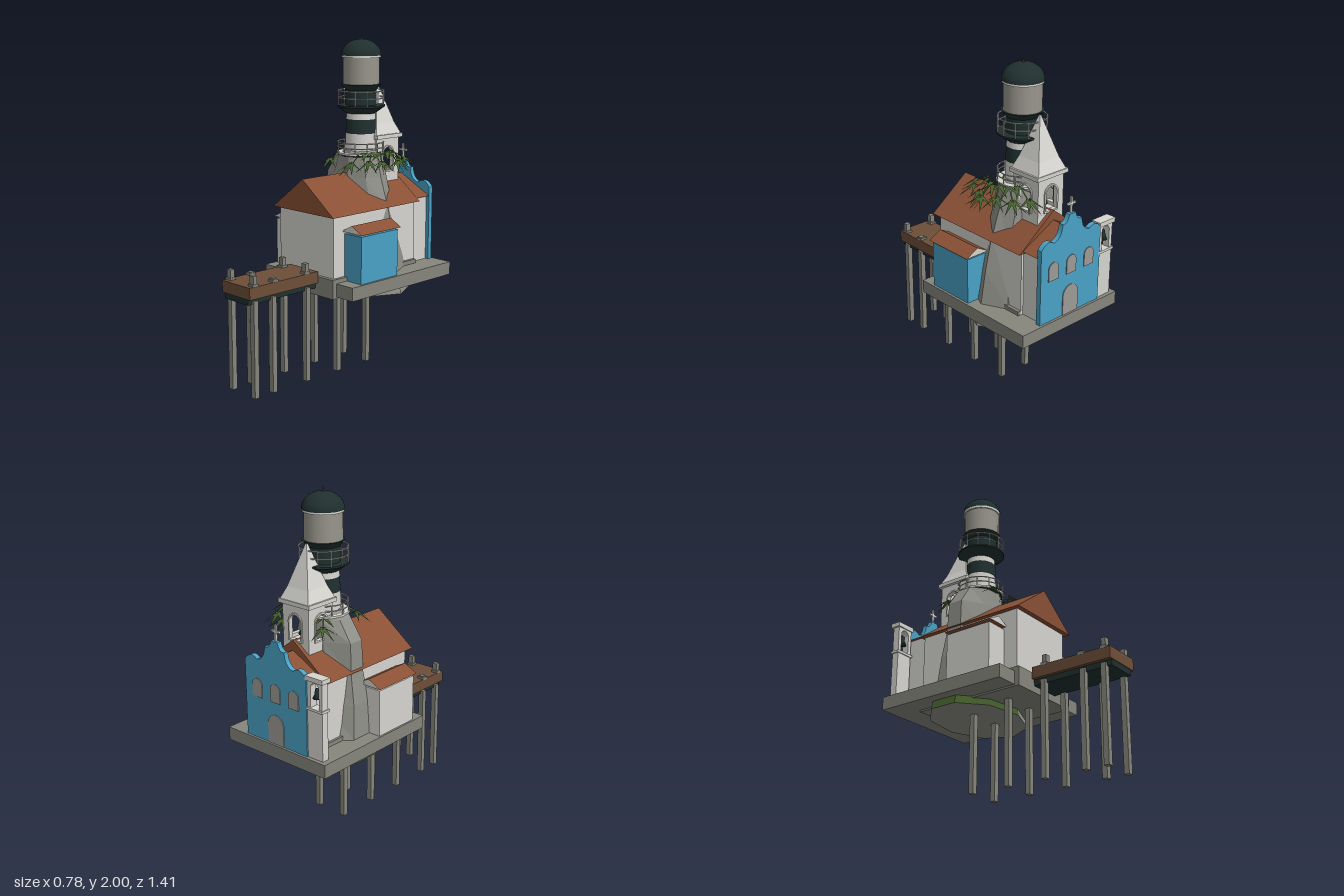
import * as THREE from 'three';

const mat = (name, color, extra = {}) => {
  const m = new THREE.MeshStandardMaterial({ color, ...extra });
  m.name = name;
  return m;
};

export function createModel() {
  const root = new THREE.Group();
  root.name = 'pierLighthouse';
  const white = mat('white plaster', 0xd6d5d0), tile = mat('roof tile', 0x8a5035);
  const blue = mat('blue paint', 0x4aa2c6), grey = mat('grey stone', 0x86867d);
  const rockMat = mat('rock', 0x8f8f89, { flatShading: true });
  const dark = mat('dark green iron', 0x20302f), wood = mat('dock wood', 0x6d4e38);
  const glass = mat('lantern glass', 0x98968c), leaf = mat('leaf green', 0x435e2c, { side: THREE.DoubleSide });
  const opening = mat('window grey', 0x9d9b96);
  const CX = -0.022, CZ = -0.287;

  const add = (name, geo, m, x = 0, y = 0, z = 0, parent = root) => {
    const mesh = new THREE.Mesh(geo, m);
    mesh.name = name;
    mesh.position.set(x, y, z);
    parent.add(mesh);
    return mesh;
  };
  // Box given by its limits on each axis
  const box = (name, m, x0, x1, y0, y1, z0, z1, parent = root) =>
    add(name, new THREE.BoxGeometry(x1 - x0, y1 - y0, z1 - z0), m,
      (x0 + x1) / 2, (y0 + y1) / 2, (z0 + z1) / 2, parent);
  const extrude = (shape, depth) =>
    new THREE.ExtrudeGeometry(shape, { depth, bevelEnabled: false, curveSegments: 10 });
  // Gable roof with its ridge along z
  const gable = (name, ends, x0, x1, y0, y1, z0, z1) => {
    const s = new THREE.Shape([[x0, y0], [x1, y0], [(x0 + x1) / 2, y1]].map(p => new THREE.Vector2(...p)));
    add(name, extrude(s, z1 - z0), [ends, tile], 0, 0, z0);
  };
  // Round-headed outline centred on x
  const arch = (x, y0, y1, w, Type = THREE.Shape) => {
    const p = new Type(), r = w / 2;
    p.moveTo(x - r, y0);
    p.lineTo(x + r, y0);
    p.lineTo(x + r, y1 - r);
    p.absarc(x, y1 - r, r, 0, Math.PI, false);
    p.lineTo(x - r, y0);
    return p;
  };
  const archedWall = (x0, x1, y0, y1, ax, a0, a1, aw) => {
    const s = new THREE.Shape([[x0, y0], [x1, y0], [x1, y1], [x0, y1]].map(p => new THREE.Vector2(...p)));
    s.holes.push(arch(ax, a0, a1, aw, THREE.Path));
    return s;
  };
  const lathe = (name, m, pts, x, y, z, seg = 20) =>
    add(name, new THREE.LatheGeometry(pts.map(p => new THREE.Vector2(...p)), seg), m, x, y, z);

  // Platform
  box('platformSlab', grey, -0.4, 0.355, 0.52, 0.6, -0.705, 0.16);
  box('buildingPlinth', grey, -0.265, 0.225, 0.51, 0.625, -0.53, 0.19);

  // Rock: stacked eight-sided rings, mossy on the front left faces near the base
  const rings = [ // y, radius x, radius z, extra reach on the -x side
    [0.47, 0.345, 0.255, 0], [0.6, 0.31, 0.235, 0], [0.8, 0.275, 0.18, 0.02], [0.97, 0.235, 0.15, 0.03],
    [1.16, 0.17, 0.14, 0.09], [1.28, 0.14, 0.13, 0.03], [1.32, 0.09, 0.09, 0]];
  const N = 9, pos = [], moss = [];
  const pt = (i, k) => {
    const [y, rx, rz, reach] = rings[i], a = (k % N) / N * Math.PI * 2;
    const x = Math.cos(a) * rx - Math.max(0, -Math.cos(a)) ** 2 * reach;
    return [CX + x, y, CZ + Math.sin(a) * rz];
  };
  for (let i = 0; i < rings.length - 1; i++) {
    for (let k = 0; k < N; k++) {
      const a = pt(i, k), b = pt(i, k + 1), c = pt(i + 1, k + 1), d = pt(i + 1, k);
      (i === 0 && k >= 2 && k <= 4 ? moss : pos).push(...a, ...c, ...b, ...a, ...d, ...c);
    }
  }
  for (let k = 0; k < N; k++) pos.push(CX, 0.47, CZ, ...pt(0, k), ...pt(0, k + 1));
  const soup = (arr) => {
    const g = new THREE.BufferGeometry();
    g.setAttribute('position', new THREE.Float32BufferAttribute(arr, 3));
    g.computeVertexNormals();
    return g;
  };
  add('rock', soup(pos), rockMat);
  add('mossyRockBase', soup(moss), leaf);

  // Main hall and lower rear hall
  box('hallWalls', white, -0.25, 0.205, 0.6, 1.0, -0.53, 0.167);
  gable('hallRoof', tile, -0.28, 0.236, 0.99, 1.185, -0.545, 0.197);
  box('rearHallWalls', white, -0.235, 0.19, 0.6, 1.01, -0.662, -0.53);
  gable('rearHallRoof', tile, -0.257, 0.212, 1.005, 1.125, -0.665, -0.54);

  // Side annexes
  [['left', blue, 0.2, 0.34, 0.19, 0.356], ['right', white, -0.388, -0.24, -0.4, -0.23]].forEach(
    ([side, m, x0, x1, r0, r1]) => {
      box(side + 'Annex', m, x0, x1, 0.6, 0.88, -0.232, 0.075);
      box(side + 'AnnexCornice', white, x0 + 0.02, x1 - 0.02, 0.88, 0.9, -0.22, 0.06);
      gable(side + 'AnnexRoof', white, r0, r1, 0.893, 0.937, -0.243, 0.087);
    });

  // Scalloped facade on the back, built around x = 0
  const facade = new THREE.Group();
  facade.name = 'facade';
  facade.position.set(CX, 0, -0.69);
  root.add(facade);
  const f = new THREE.Shape();
  f.moveTo(-0.235, 0.6);
  f.lineTo(0.235, 0.6);
  f.lineTo(0.235, 1.06);
  f.quadraticCurveTo(0.19, 1.12, 0.14, 1.08);
  f.quadraticCurveTo(0.08, 1.09, 0.075, 1.17);
  f.quadraticCurveTo(0.04, 1.16, 0.025, 1.215);
  f.lineTo(-0.025, 1.215);
  f.quadraticCurveTo(-0.04, 1.16, -0.075, 1.17);
  f.quadraticCurveTo(-0.08, 1.09, -0.14, 1.08);
  f.quadraticCurveTo(-0.19, 1.12, -0.235, 1.06);
  add('facadeWall', extrude(f, 0.03), blue, 0, 0, 0, facade);
  for (const x of [-0.14, 0, 0.14])
    add('facadeWindow', extrude(arch(x, 0.855, 0.965, 0.075), 0.008), opening, 0, 0, -0.005, facade);
  add('facadeDoor', extrude(arch(0, 0.602, 0.78, 0.12), 0.008), opening, 0, 0, -0.005, facade);
  box('finialPost', white, -0.006, 0.006, 1.21, 1.31, 0.009, 0.021, facade);
  box('finialArm', white, -0.03, 0.03, 1.265, 1.277, 0.009, 0.021, facade);

  // Bell wall beside the facade
  const bell = [[0.002, 0.06], [0.012, 0.055], [0.017, 0.02], [0.026, 0], [0, 0]].reverse();
  add('bellWall', extrude(archedWall(-0.365, -0.257, 0.6, 1.06, -0.311, 0.9, 1.045, 0.06), 0.045), white, 0, 0, -0.682);
  box('bellWallCap', white, -0.376, -0.25, 1.055, 1.082, -0.692, -0.628);
  box('bellWallSill', white, -0.372, -0.25, 0.885, 0.9, -0.69, -0.63);
  lathe('smallBell', dark, bell, -0.311, 0.955, -0.66, 12);

  // Belfry with an arch in each wall and a flared spire
  const BZ = -0.422, h = 0.098;
  const belfry = new THREE.Group();
  belfry.name = 'belfry';
  belfry.position.set(CX, 0, BZ);
  root.add(belfry);
  for (let i = 0; i < 4; i++) {
    const side = new THREE.Group();
    side.name = 'belfrySide';
    side.rotation.y = i * Math.PI / 2;
    belfry.add(side);
    add('belfryWall', extrude(archedWall(-h, h, 0.95, 1.385, 0, 1.18, 1.325, 0.085), 0.02), white, 0, 0, h - 0.02, side);
    const trim = arch(0, 1.17, 1.335, 0.105);
    trim.holes.push(arch(0, 1.18, 1.325, 0.085, THREE.Path));
    add('archTrim', extrude(trim, 0.008), white, 0, 0, h, side);
  }
  box('belfryFloor', white, -h, h, 1.14, 1.16, -h, h, belfry);
  box('belfryCornice', white, -0.118, 0.118, 1.378, 1.402, -0.113, 0.113, belfry);
  lathe('belfryBell', dark, bell.map(([x, y]) => [x * 2.1, y * 2.1]), CX, 1.19, BZ, 14);
  [[0.108, 1.4, 0.078, 1.47], [0.078, 1.47, 0.004, 1.71]].forEach(([r0, y0, r1, y1]) => {
    const g = new THREE.CylinderGeometry(r1 * Math.SQRT2, r0 * Math.SQRT2, y1 - y0, 4, 1, true).toNonIndexed();
    g.rotateY(Math.PI / 4);
    g.computeVertexNormals();
    add('belfrySpire', g, white, 0, (y0 + y1) / 2, 0, belfry);
  });

  // Lighthouse tower: stacked rings of radius bottom, radius top, y bottom, y top
  [['lowerTower', white, 0.1, 0.093, 1.2, 1.415], ['darkBand', dark, 0.093, 0.09, 1.415, 1.5],
    ['upperTower', white, 0.09, 0.087, 1.5, 1.545], ['lowerGallery', dark, 0.085, 0.14, 1.25, 1.29],
    ['lowerGalleryFloor', white, 0.145, 0.145, 1.288, 1.3],
    ['galleryBracket', dark, 0.088, 0.143, 1.535, 1.575], ['galleryFloor', dark, 0.146, 0.146, 1.575, 1.585],
    ['watchRoom', dark, 0.095, 0.095, 1.585, 1.68], ['lanternBase', dark, 0.095, 0.122, 1.675, 1.71],
    ['lantern', glass, 0.11, 0.11, 1.71, 1.87], ['lanternRim', white, 0.118, 0.118, 1.868, 1.884],
  ].forEach(([name, m, r0, r1, y0, y1]) =>
    add(name, new THREE.CylinderGeometry(r1, r0, y1 - y0, 20), m, CX, (y0 + y1) / 2, CZ));
  const dome = new THREE.SphereGeometry(0.121, 20, 8, 0, Math.PI * 2, 0, Math.PI / 2);
  dome.scale(1, 0.8, 1);
  add('dome', dome, dark, CX, 1.88, CZ);
  add('domeFinial', new THREE.ConeGeometry(0.018, 0.045, 10), dark, CX, 1.9775, CZ);

  // Railings
  const railing = (name, y0, y1, n) => {
    const g = new THREE.Group();
    g.name = name;
    g.position.set(CX, 0, CZ);
    root.add(g);
    for (const y of [(y0 + y1) / 2, y1])
      add('rail', new THREE.TorusGeometry(0.14, 0.004, 4, 20).rotateX(Math.PI / 2), white, 0, y, 0, g);
    for (let i = 0; i < n; i++) {
      const a = i / n * Math.PI * 2;
      add('railPost', new THREE.CylinderGeometry(0.004, 0.004, y1 - y0, 5), white,
        Math.cos(a) * 0.14, (y0 + y1) / 2, Math.sin(a) * 0.14, g);
    }
  };
  railing('upperRailing', 1.585, 1.67, 12);
  railing('lowerRailing', 1.3, 1.36, 12);

  // Palm fronds: pointed leaflets fanned along a drooping spine
  const frond = (x, y, z, deg, len, drop) => {
    const v = [], a = deg * Math.PI / 180;
    const at = t => [x + Math.cos(a) * len * t, y + 0.05 * Math.sin(t * 3) - drop * t * t, z - Math.sin(a) * len * t];
    const blade = (t, spread, L, w) => {
      const p = at(t), b = a + spread, c = Math.cos(b), s = -Math.sin(b);
      v.push(p[0] - s * w, p[1], p[2] + c * w, p[0] + s * w, p[1], p[2] - c * w,
        p[0] + c * L, p[1] - L * (0.3 + t * 0.5), p[2] + s * L);
    };
    const A = at(0), M = at(0.5), E = at(0.95);
    const n = [-Math.sin(a) * 0.005, 0, -Math.cos(a) * 0.005];
    for (const [p, q] of [[A, M], [M, E]])
      v.push(...p.map((c, i) => c + n[i]), ...p.map((c, i) => c - n[i]), ...q);
    for (const t of [0.35, 0.68]) for (const s of [-1, 1]) {
      blade(t, s * 0.75, 0.095, 0.015);
      if (t > 0.5) blade(t, s * 1.7, 0.075, 0.013);
    }
    blade(0.68, 0, len * 0.36, 0.016);
    add('palmFrond', soup(v), leaf);
  };
  [[90, 0.29, 0.14], [62, 0.26, 0.13], [28, 0.2, 0.12], [0, 0.255, 0.12], [-32, 0.2, 0.13],
    [-60, 0.26, 0.12], [-88, 0.32, 0.14]].forEach(([d, l, dr]) => frond(0.11, 1.29, -0.285, d, l, dr));
  frond(-0.06, 1.27, -0.33, 130, 0.2, 0.12);
  frond(-0.06, 1.27, -0.22, -118, 0.17, 0.1);

  // Dock on piles
  box('dockDeck', wood, -0.142, 0.1, 0.585, 0.655, 0.19, 0.705);
  box('dockUnderframe', dark, -0.12, 0.078, 0.55, 0.585, 0.15, 0.7);
  for (const x of [-0.121, 0.077]) {
    for (const z of [0.655, 0.52, 0.26, 0.01, -0.24])
      box('pile', grey, x - 0.017, x + 0.017, 0, 0.57, z - 0.016, z + 0.016);
    for (const [z, top] of [[0.66, 0.715], [0.515, 0.675], [0.27, 0.715]]) {
      box('bollard', grey, x - 0.015, x + 0.018, 0.65, top, z - 0.014, z + 0.014);
      box('bollardFoot', grey, x - 0.022, x + 0.022, 0.65, 0.668, z - 0.02, z + 0.02);
    }
  }
  return root;
}
